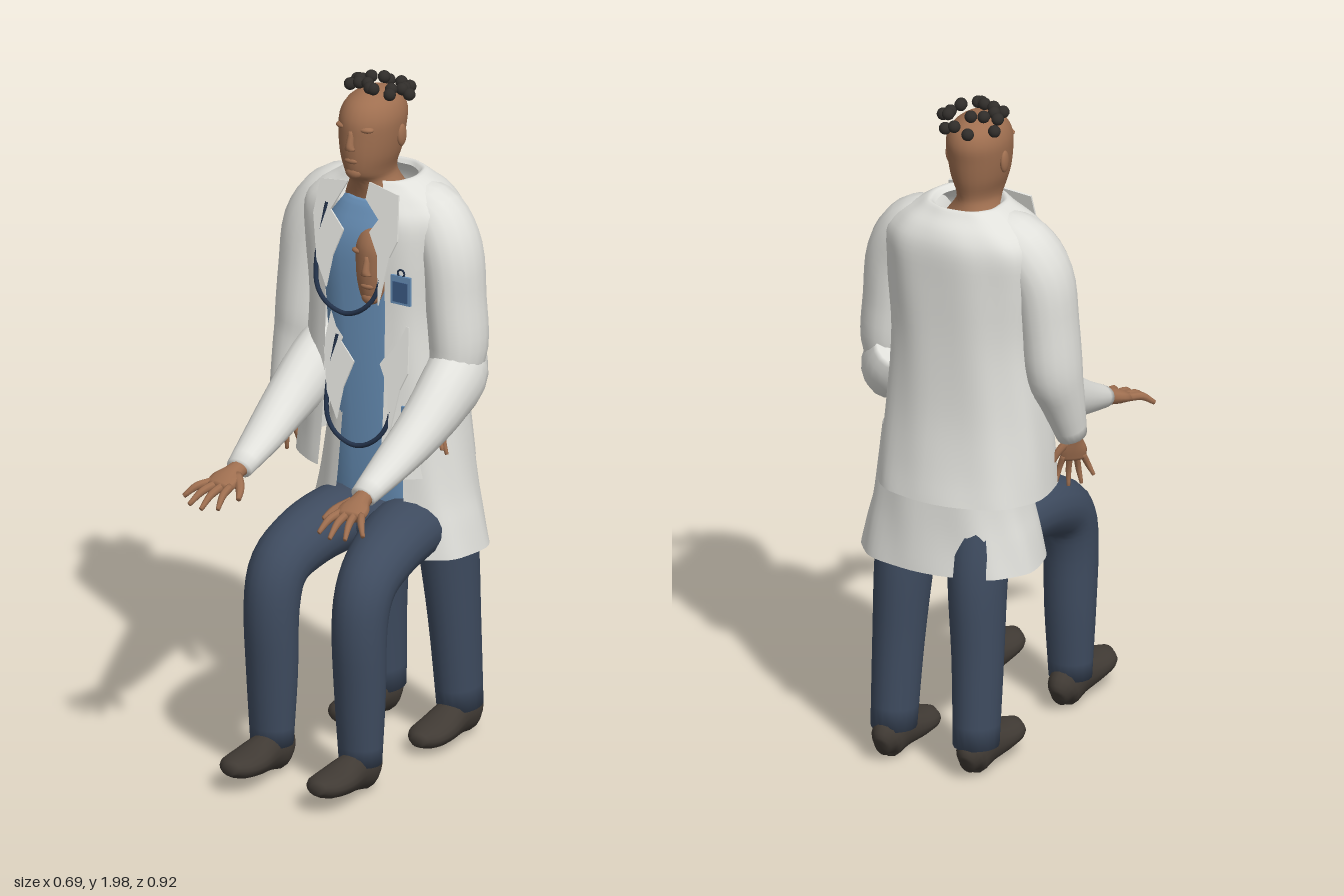
import * as THREE from 'three';

const material = (name, color, side = THREE.FrontSide) => {
  const m = new THREE.MeshStandardMaterial({ color, side });
  m.name = name;
  return m;
};

// Smooth skin over oval rows [x, y, z, halfWidth, halfDepth, frontOpening]
function loft(name, mat, rows, { seg = 20, e = 1, level = false, open = false, sub = 4, fold = 0 } = {}) {
  const path = new THREE.CatmullRomCurve3(rows.map(r => new THREE.Vector3(r[0], r[1], r[2])), false, 'catmullrom', 0.5);
  const size = new THREE.CatmullRomCurve3(rows.map(r => new THREE.Vector3(r[3], r[4], r[5] || 0)), false, 'catmullrom', 0.5);
  const n = (rows.length - 1) * sub, ring = open ? seg + 1 : seg;
  const pos = [], idx = [];
  const shape = v => Math.sign(v) * Math.abs(v) ** e;
  for (let i = 0; i <= n; i++) {
    const c = path.getPoint(i / n), s = size.getPoint(i / n);
    const t = level ? new THREE.Vector3(0, 1, 0) : path.getTangent(i / n);
    const u = new THREE.Vector3(1, 0, 0).addScaledVector(t, -t.x).normalize();
    const v = t.clone().cross(u);
    const g = open ? Math.asin(Math.min(0.95, s.z / s.x) ** (1 / e)) : 0;
    for (let j = 0; j < ring; j++) {
      const q = -Math.PI / 2 + g + (j / seg) * (Math.PI * 2 - 2 * g);
      const w = 1 + fold * Math.sin(q * 9 + i * 0.25);
      const p = c.clone().addScaledVector(u, s.x * w * shape(Math.cos(q))).addScaledVector(v, s.y * w * shape(Math.sin(q)));
      pos.push(p.x, p.y, p.z);
    }
  }
  const next = j => open ? j + 1 : (j + 1) % seg;
  for (let i = 0; i < n; i++) for (let j = 0; j < seg; j++) {
    const a = i * ring + j, b = i * ring + next(j);
    idx.push(a, b, a + ring, b, b + ring, a + ring);
  }
  if (!open) {
    const c0 = pos.length / 3, last = n * ring;
    pos.push(...path.getPoint(0).toArray(), ...path.getPoint(1).toArray());
    for (let j = 0; j < seg; j++) idx.push(c0, next(j), j, c0 + 1, last + j, last + next(j));
  }
  const geo = new THREE.BufferGeometry();
  geo.setAttribute('position', new THREE.Float32BufferAttribute(pos, 3));
  geo.setIndex(idx);
  geo.computeVertexNormals();
  const mesh = new THREE.Mesh(geo, mat);
  mesh.name = name;
  return mesh;
}

function ball(name, mat, [x, y, z], [a, b, c]) {
  const m = new THREE.Mesh(new THREE.SphereGeometry(1, 14, 10), mat);
  m.name = name;
  m.position.set(x, y, z);
  m.scale.set(a, b, c);
  return m;
}

function group(name, ...parts) {
  const g = new THREE.Group();
  g.name = name;
  if (parts.length) g.add(...parts);
  return g;
}

export function createModel() {
  const coat = material('white coat', 0xe0e0db, THREE.DoubleSide);
  const scrub = material('blue scrub', 0x6890b8);
  const denim = material('navy trousers', 0x3e4b5f);
  const skin = material('brown skin', 0x9f6f50);
  const hair = material('dark hair', 0x302d2a);
  const leather = material('shoe leather', 0x403a34);
  const rubber = material('navy rubber', 0x23324a);
  const card = material('badge picture', 0x3c5b86);

  // Head with face, ears and scattered hair knots
  const knots = [[-.035, -.32], [-.096, -.274], [.015, -.305], [.042, -.308], [-.017, -.265], [-.05, -.25], [.062, -.25],
    [.086, -.235], [.064, -.232], [-.084, -.23], [-.064, -.212], [.05, -.197], [-.076, -.18], [-.047, -.182],
    [-.017, -.18], [0, -.163], [.012, -.163], [.059, -.175]];
  const head = () => {
    const g = group('head', loft('skull', skin, [
      [-.005, 1.60, -.235, .115, .09], [-.01, 1.645, -.225, .09, .085], [-.012, 1.69, -.207, .061, .085], [-.012, 1.72, -.19, .06, .1],
      [-.012, 1.77, -.192, .076, .112], [-.012, 1.83, -.197, .086, .117], [-.012, 1.88, -.202, .087, .117],
      [-.012, 1.92, -.205, .07, .095], [-.012, 1.945, -.205, .035, .05], [-.012, 1.95, -.205, .008, .01]], { level: true, seg: 24 }),
      loft('nose', skin, [[-.012, 1.80, -.08, .017, .013], [-.012, 1.815, -.079, .012, .013], [-.012, 1.855, -.09, .009, .01]], { level: true, seg: 10 }),
      ball('lips', skin, [-.012, 1.765, -.086], [.022, .009, .009]),
      ball('chin', skin, [-.012, 1.727, -.1], [.026, .02, .018]));
    for (const s of [-1, 1]) g.add(
      ball('brow', skin, [-.012 + s * .036, 1.86, -.106], [.026, .01, .018]),
      ball('ear', skin, [-.012 + s * .086, 1.82, -.215], [.01, .033, .02]));
    for (const [x, z] of knots) {
      const r2 = (x + .012) ** 2 + (z + .21) ** 2;
      g.add(ball('hairKnot', hair, [x, 1.97 - 3.2 * r2, z], [.018, .018, .018]));
    }
    return g;
  };

  // Hand pointing along +z, thumb on the -x side
  const hand = () => group('hand',
    loft('palm', skin, [[0, 0, -.03, .025, .022], [0, 0, .02, .029, .021], [0, -.002, .06, .045, .019], [0, -.006, .095, .042, .013]], { seg: 12 }),
    ...[[-.032, -.056, .168], [-.011, -.014, .188], [.011, .03, .183], [.031, .07, .155]].map(([x, tx, tz]) =>
      loft('finger', skin, [[x, -.004, .08, .011, .011], [(x + tx) / 2, -.002, (tz + .085) / 2, .01, .01], [tx, -.018, tz, .006, .006]], { seg: 8 })),
    loft('thumb', skin, [[-.02, 0, .03, .015, .015], [-.055, -.008, .065, .013, .012], [-.075, -.018, .1, .007, .007]], { seg: 8 }));

  const shoe = (x, y, z, pitch) => {
    const m = loft('shoe', leather, [[0, .045, -.005, .02, .03], [0, .063, .03, .047, .062], [0, .062, .1, .05, .057],
      [0, .046, .19, .062, .041], [0, .039, .255, .055, .032], [0, .038, .295, .022, .017]], { seg: 16 });
    m.position.set(x, y, z);
    m.rotation.x = pitch;
    return m;
  };

  // Lapels, stethoscope and badge on the chest
  const chestDetails = () => {
    const g = group('chestDetails');
    const lapels = [
      [[-.13, 1.68], [-.04, 1.69], [-.085, 1.6], [-.035, 1.55], [-.06, 1.47], [-.068, 1.38], [-.11, 1.45], [-.14, 1.58]],
      [[.03, 1.70], [.13, 1.68], [.145, 1.55], [.125, 1.5], [.108, 1.36], [.085, 1.5], [.05, 1.56], [.075, 1.6], [.025, 1.65]]];
    for (const pts of lapels) {
      const shape = new THREE.Shape(pts.map(([x, y]) => new THREE.Vector2(x, y - 1.69)));
      const m = new THREE.Mesh(new THREE.ExtrudeGeometry(shape, { depth: .006, bevelEnabled: false }), coat);
      m.name = 'lapel';
      m.position.set(0, 1.69, -.118);
      m.rotation.x = -.23;
      g.add(m);
    }
    const curve = new THREE.CatmullRomCurve3([[-.1, 1.62, -.1], [-.115, 1.5, -.075], [-.1, 1.39, -.045], [-.06, 1.345, -.035],
      [0, 1.325, -.035], [.06, 1.35, -.035], [.095, 1.4, -.05], [.1, 1.6, -.1]].map(p => new THREE.Vector3(...p)));
    const tube = new THREE.Mesh(new THREE.TubeGeometry(curve, 48, .007, 8), rubber);
    tube.name = 'stethoscope';
    const badge = new THREE.Mesh(new THREE.BoxGeometry(.064, .085, .008), scrub);
    badge.name = 'badge';
    badge.position.set(.152, 1.408, -.09);
    const picture = new THREE.Mesh(new THREE.BoxGeometry(.048, .06, .004), card);
    picture.name = 'badgePicture';
    picture.position.set(.152, 1.403, -.085);
    const clip = new THREE.Mesh(new THREE.TorusGeometry(.011, .003, 6, 12), rubber);
    clip.name = 'badgeClip';
    clip.position.set(.152, 1.458, -.09);
    g.add(tube, badge, picture, clip);
    return g;
  };

  const model = group('doubledFigure');

  // Upper head, and a lower one that breaks through the chest
  const lowHead = head();
  lowHead.name = 'lowerHead';
  lowHead.position.set(.06, -.362, .01);
  model.add(head(), lowHead);

  // Shirt and the two open coats
  model.add(
    loft('scrubShirt', scrub, [[.045, .64, -.24, .18, .13], [.045, .8, -.24, .17, .145], [.04, 1.0, -.24, .17, .15], [.02, 1.3, -.24, .17, .15],
      [.005, 1.5, -.24, .17, .147], [0, 1.6, -.235, .12, .112], [0, 1.635, -.225, .08, .085]], { level: true, e: .7, seg: 28 }),
    loft('upperCoat', coat, [[0, .845, -.252, .255, .21, .1], [0, .95, -.25, .248, .19, .1], [0, 1.1, -.245, .235, .174, .1], [0, 1.3, -.243, .22, .168, .1],
      [0, 1.48, -.243, .235, .168, .1], [0, 1.59, -.246, .24, .163, .1], [0, 1.645, -.248, .2, .142, .08], [.005, 1.68, -.242, .145, .115, .06],
      [.005, 1.7, -.238, .108, .1, .05], [.005, 1.685, -.238, .088, .088, .05]], { level: true, open: true, e: .85, seg: 48, fold: .01 }),
    loft('lowerCoat', coat, [[.05, .61, -.24, .268, .183, .13], [.05, .7, -.24, .25, .172, .12], [.05, .8, -.24, .228, .165, .11],
      [.05, 1.0, -.24, .2, .155, .1]], { level: true, open: true, e: .85, seg: 48, fold: .012 }));
  const lowDetails = chestDetails();
  lowDetails.name = 'lowerChestDetails';
  lowDetails.position.set(.035, -.39, 0);
  model.add(chestDetails(), lowDetails, ball('trouserSeat', denim, [.05, .69, -.2], [.19, .09, .17]));

  for (const s of [-1, 1]) {
    const mx = x => .05 + s * x; // mirrored about the lower body's middle

    // Reaching arms
    const reach = hand();
    reach.name = 'reachingHand';
    reach.position.set(mx(.21), .922, .272);
    reach.rotation.set(.22, s * .1, 0);
    reach.scale.set(s * 1.05, 1.15, 1.03);
    model.add(loft('reachingSleeve', coat, [[mx(.15), 1.23, -.27, .07, .08], [mx(.2), 1.15, -.23, .085, .105], [mx(.218), 1.1, -.13, .08, .095],
      [mx(.22), 1.035, 0, .07, .073], [mx(.213), .975, .14, .058, .05], [mx(.207), .925, .27, .04, .033]], { seg: 18 }), reach);

    // Hanging arms, the left one sunk into the coat
    const [wx, wy, wz, turn] = s < 0 ? [-.285, 1.0, -.15, .7] : [.235, 1.075, -.19, -1.4];
    const hang = hand();
    hang.name = 'hangingHand';
    hang.position.set(wx, wy, wz);
    hang.rotation.set(s < 0 ? 1.35 : Math.PI / 2, turn, 0, 'YXZ');
    hang.scale.set(s * .85, .9, .9);
    model.add(loft('hangingSleeve', coat, [[s * .09, 1.615, -.245, .075, .085], [s * .17, 1.588, -.245, .083, .098], [s * .225, 1.5, -.235, .087, .103],
      [s * .245, 1.36, -.23, .082, .1], [s * .257, 1.22, -.225, .08, .095], [(wx + s * .26) / 2, 1.12, -.2, .063, .07],
      [wx, wy, wz - .015, .043, .045]], { seg: 18 }), hang);

    // Bent legs stepping forward
    model.add(loft('bentLeg', denim, [[mx(.1), .68, -.26, .1, .075], [mx(.108), .685, -.11, .108, .092], [mx(.13), .665, .04, .098, .09],
      [mx(.145), .61, .155, .085, .085], [mx(.147), .5, .195, .079, .08], [mx(.147), .3, .193, .074, .071], [mx(.148), .09, .192, .063, .056]], { seg: 18 }),
      shoe(mx(.145), -.003, .135, -.15));

    // Straight legs behind
    const back = s < 0 ? -.02 : 0;
    model.add(loft('straightLeg', denim, [[mx(.11), .8, -.27, .09, .1], [mx(.12), .6, -.305 + back, .082, .1], [mx(.13), .35, -.325 + back, .072, .083],
      [mx(.135), .09, -.345 + back, .064, .073]], { seg: 18 }),
      shoe(mx(.135), .001, -.415, s < 0 ? -.1 : -.03));
  }
  return model;
}
